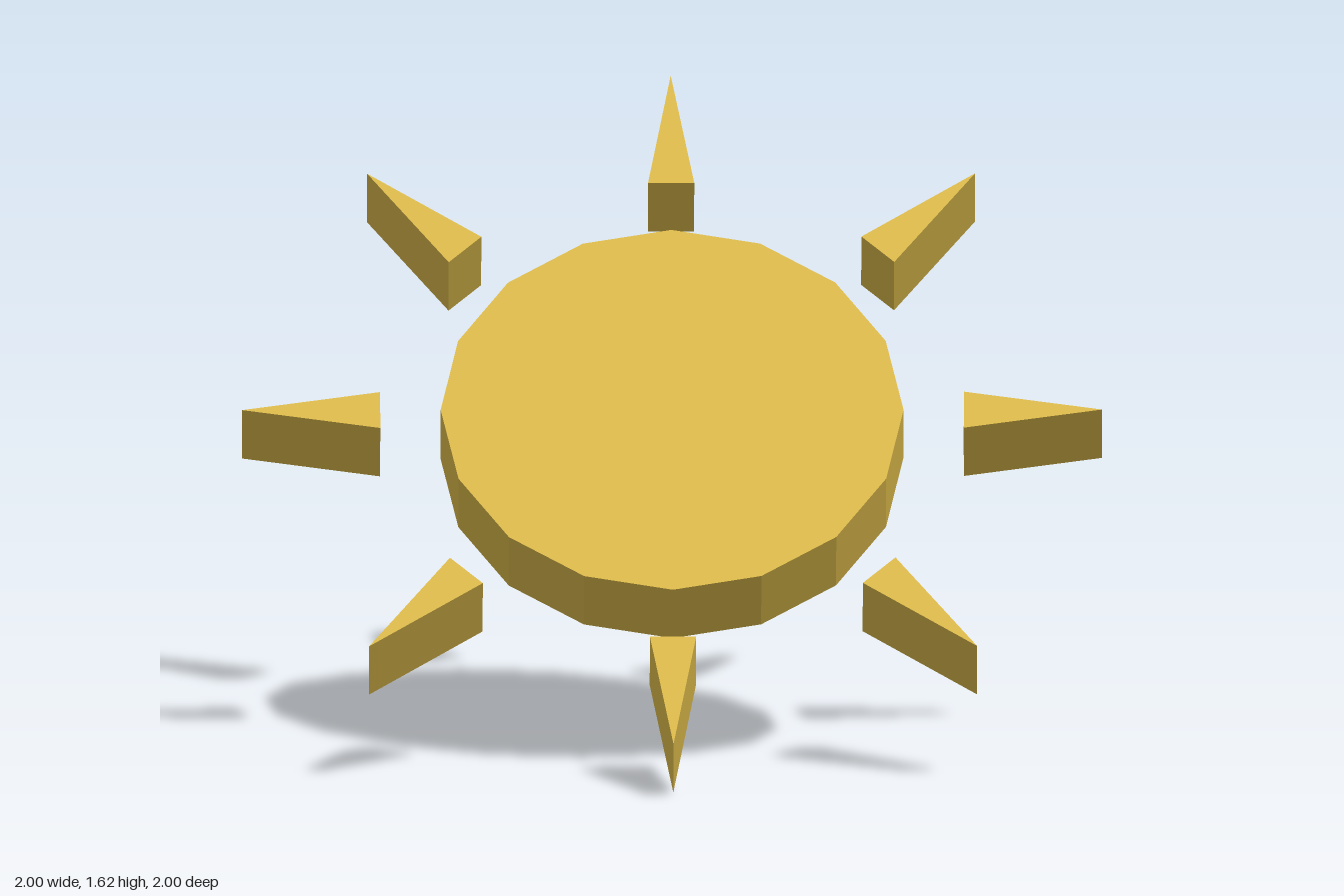
import * as THREE from 'three';

const RAYS = 8;
const THICKNESS = 0.196;
const DISC_RADIUS = 0.59;
const RAY_BASE = 0.744;   // distance from the centre to the blunt end of a ray
const RAY_TIP = 1.096;    // distance from the centre to its point
const RAY_WIDTH = 0.118;

export function createModel() {
  const model = new THREE.Group();
  model.name = 'sun';
  const gold = new THREE.MeshStandardMaterial({ color: 0xd9b84a, flatShading: true });
  gold.name = 'gold';

  // The whole sun lies in its own XZ plane, then leans towards the front left
  const sun = new THREE.Group();
  sun.name = 'tiltedSun';
  sun.position.y = 0.806;
  sun.rotation.set(THREE.MathUtils.degToRad(42.1), Math.PI / 4, 0, 'YXZ');
  model.add(sun);

  // Sixteen-sided disc, with corners in line with the rays
  const disc = new THREE.Mesh(
    new THREE.CylinderGeometry(DISC_RADIUS, DISC_RADIUS, THICKNESS, 16), gold);
  disc.name = 'disc';
  sun.add(disc);

  // Wedge-shaped ray pointing along +x
  const outline = new THREE.Shape([
    new THREE.Vector2(RAY_BASE, -RAY_WIDTH / 2),
    new THREE.Vector2(RAY_TIP, 0),
    new THREE.Vector2(RAY_BASE, RAY_WIDTH / 2),
  ]);
  const rayGeometry = new THREE.ExtrudeGeometry(outline, { depth: THICKNESS, bevelEnabled: false });
  rayGeometry.translate(0, 0, -THICKNESS / 2);
  rayGeometry.rotateX(-Math.PI / 2);

  // Ring of rays around the disc
  for (let i = 0; i < RAYS; i++) {
    const ray = new THREE.Mesh(rayGeometry, gold);
    ray.name = `ray${i + 1}`;
    ray.rotation.y = (i / RAYS) * Math.PI * 2;
    sun.add(ray);
  }

  return model;
}
